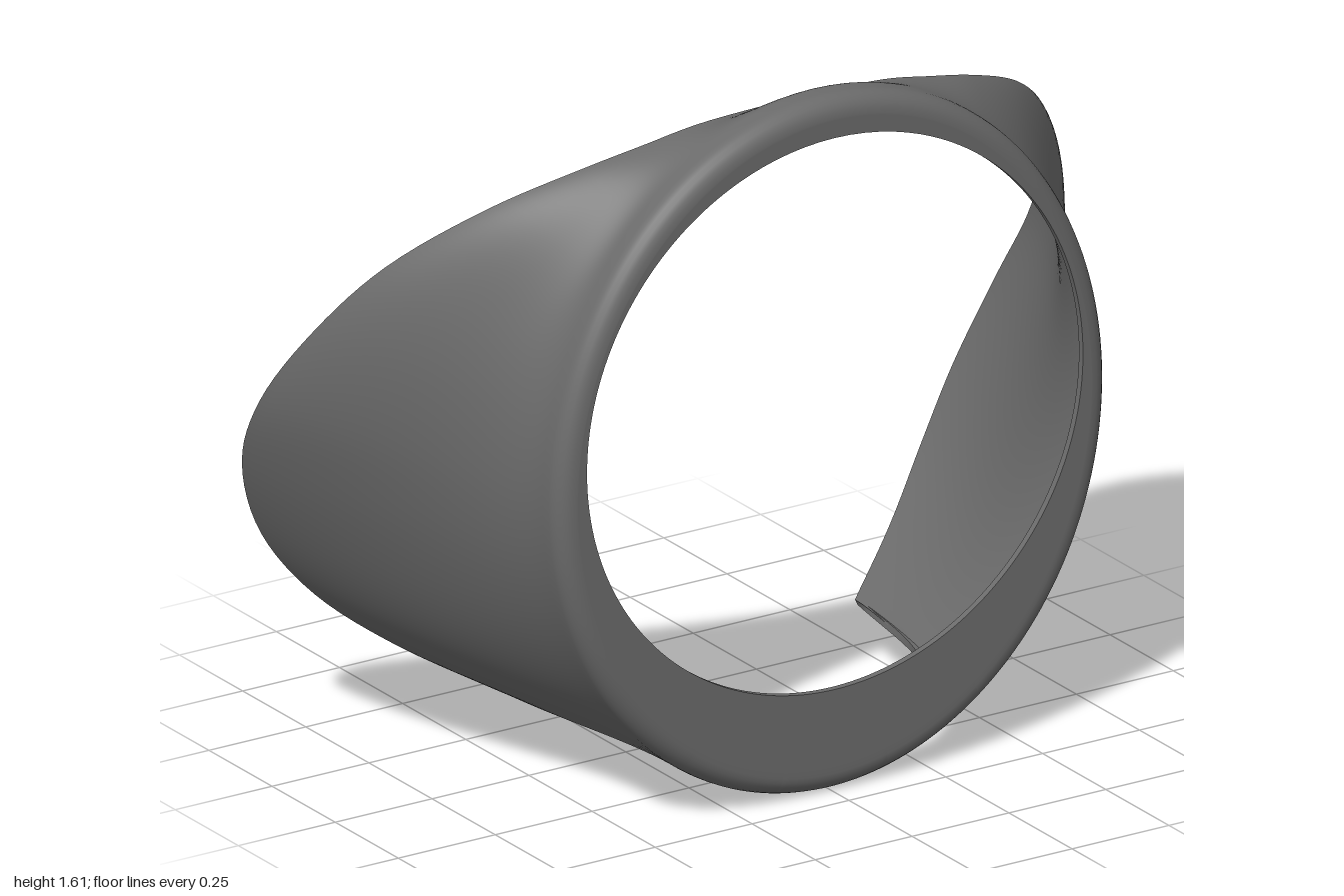
import * as THREE from 'three';

const THICK = 0.016;   // shell thickness
const FRONT = 0.445;   // z of the flat front face
const ROUND = 0.045;   // radius of the front outer edge

// Rear edge of one half, from top to bottom: [ring angle, x, y, z]
const cheekEdge = [
  [90, 0, 1.56, 0.275], [70, 0.24, 1.55, 0.27], [60, 0.37, 1.522, 0.25], [49, 0.5, 1.485, 0.215],
  [38, 0.68, 1.4, 0.12], [26, 0.85, 1.25, -0.03], [14, 0.95, 1.08, -0.16], [3, 1, 0.88, -0.3],
  [-8, 0.98, 0.7, -0.4], [-20, 0.9, 0.5, -0.445], [-31, 0.79, 0.35, -0.405],
  [-43, 0.64, 0.23, -0.3], [-57, 0.46, 0.13, -0.17],
];
const notchEdge = [
  [-57, 0.46, 0.13, -0.17], [-58.2, 0.39, 0.132, 0.18], [-61, 0.35, 0.115, 0.285],
  [-67, 0.272, 0.073, 0.343], [-74, 0.19, 0.036, 0.325], [-77, 0.143, 0.026, 0.27],
  [-78.5, 0.07, 0.046, 0.05],
];
const tabEdge = [[-78.5, 0.07, 0.046, 0.05], [-84, 0.035, 0.043, 0.053], [-90, 0, 0.042, 0.055]];

// Smooth samples along an edge table, without its last point
function sampleEdge(keys, steps) {
  const points = new THREE.CatmullRomCurve3(keys.map(k => new THREE.Vector3(k[1], k[2], k[3])));
  const angles = new THREE.CatmullRomCurve3(keys.map(k => new THREE.Vector3(k[0], 0, 0)));
  const n = (keys.length - 1) * steps;
  return Array.from({ length: n }, (_, i) => ({
    angle: THREE.MathUtils.degToRad(angles.getPoint(i / n).x),
    end: points.getPoint(i / n),
  }));
}

// Section from the opening, over the rounded rim, back to the rear edge
function section({ angle, end }) {
  const c = Math.cos(angle), s = Math.sin(angle);
  const oval = (inset, z) => new THREE.Vector3((0.71 - inset) * c, 0.807 + (0.807 - inset) * s, z);
  const hole = new THREE.Vector3(0.64 * c, 0.882 + 0.642 * s, FRONT);
  const flat = oval(ROUND, FRONT);
  const row = [0, 0.5, 0.9].map(t => hole.clone().lerp(flat, t));
  for (let k = 0; k <= 6; k++) {
    const a = (k / 6) * Math.PI / 2;
    row.push(oval(ROUND * (1 - Math.sin(a)), FRONT - ROUND * (1 - Math.cos(a))));
  }
  const start = oval(0, 0.375);
  const d = end.clone().sub(start);
  const flare = new THREE.CubicBezierCurve3(
    start,
    start.clone().add(new THREE.Vector3(0, 0, d.z * 0.3)),
    end.clone().sub(new THREE.Vector3(d.x * 0.17, d.y * 0.17, d.z * 0.37)),
    end,
  );
  return row.concat(flare.getPoints(26));
}

// Surface through a closed loop of equal-length rows
function loft(rows, flip = false) {
  const m = rows[0].length, n = rows.length, index = [];
  for (let i = 0; i < n; i++) {
    for (let j = 0; j < m - 1; j++) {
      const a = i * m + j, b = ((i + 1) % n) * m + j;
      if (flip) index.push(a, b + 1, b, a, a + 1, b + 1);
      else index.push(a, b, b + 1, a, b + 1, a + 1);
    }
  }
  const g = new THREE.BufferGeometry().setFromPoints(rows.flat());
  g.setIndex(index);
  g.computeVertexNormals();
  return g;
}

export function createModel() {
  const group = new THREE.Group();
  group.name = 'flaredCowl';
  const grey = new THREE.MeshStandardMaterial({ color: 0x6b6b6b });
  grey.name = 'grey';
  const add = (name, geometry) => {
    const mesh = new THREE.Mesh(geometry, grey);
    mesh.name = name;
    group.add(mesh);
  };

  // Half loop on +x, mirrored to close the ring
  const half = [...sampleEdge(cheekEdge, 6), ...sampleEdge(notchEdge, 8), ...sampleEdge(tabEdge, 4)].map(section);
  const bottom = section({ angle: -Math.PI / 2, end: new THREE.Vector3(0, 0.042, 0.055) });
  const mirrored = half.slice(1).reverse().map(r => r.map(p => new THREE.Vector3(-p.x, p.y, p.z)));
  const outer = [...half, bottom, ...mirrored];
  const outerGeometry = loft(outer);
  add('outerShell', outerGeometry);

  // Inner skin, offset along the outer normals
  const normals = outerGeometry.attributes.normal, m = outer[0].length;
  const inner = outer.map((row, i) => row.map((p, j) =>
    p.clone().addScaledVector(new THREE.Vector3().fromBufferAttribute(normals, i * m + j), -THICK)));
  add('innerShell', loft(inner, true));

  // Narrow walls closing the opening and the rear edge
  add('openingEdge', loft(outer.map((r, i) => [inner[i][0], r[0]])));
  add('rearEdge', loft(outer.map((r, i) => [r[m - 1], inner[i][m - 1]])));
  return group;
}
